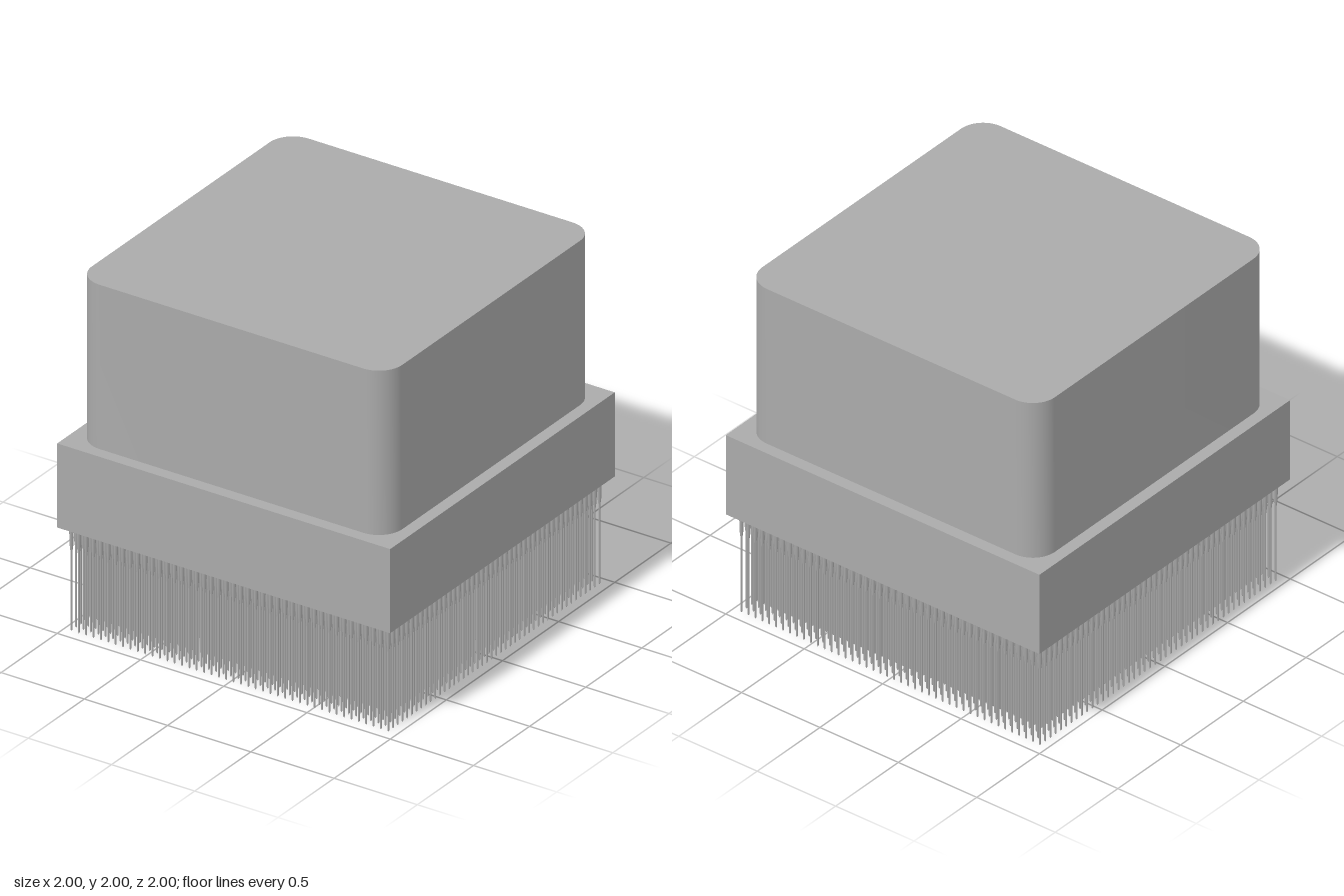
import * as THREE from 'three';
import { mergeGeometries, toCreasedNormals } from 'three/addons/utils/BufferGeometryUtils.js';

export function createModel() {
  const group = new THREE.Group();
  const grey = new THREE.MeshStandardMaterial({ color: 0xaaaaaa });
  grey.name = 'grey';

  const add = (name, geometry) => {
    const mesh = new THREE.Mesh(geometry, grey);
    mesh.name = name;
    group.add(mesh);
    return mesh;
  };

  // Square carrier plate
  add('basePlate', new THREE.BoxGeometry(2, 0.475, 2)).position.y = 0.835;

  // Block with rounded vertical corners
  const h = 0.932, r = 0.14;
  const outline = new THREE.Shape();
  [[1, 1, 0], [-1, 1, 1], [-1, -1, 2], [1, -1, 3]].forEach(([sx, sy, q]) => {
    outline.absarc(sx * (h - r), sy * (h - r), r, q * Math.PI / 2, (q + 1) * Math.PI / 2, false);
  });
  outline.closePath();
  const block = new THREE.ExtrudeGeometry(outline, { depth: 0.9275, bevelEnabled: false, curveSegments: 12 });
  block.rotateX(-Math.PI / 2);
  add('upperBlock', toCreasedNormals(block, Math.PI / 6)).position.y = 1.0725;

  // Slender pin with a thicker tapered root
  const profile = [[0, 0], [0.005, 0.008], [0.005, 0.45], [0.01, 0.49], [0.012, 0.6]]
    .map(([x, y]) => new THREE.Vector2(x, y));
  const pin = new THREE.LatheGeometry(profile, 6);

  // Grid of pins under the plate
  const columns = 44, rows = 46, pins = [];
  for (let i = 0; i < columns; i++) {
    for (let j = 0; j < rows; j++) {
      const x = -0.955 + i * 1.903 / (columns - 1);
      const z = -0.94 + j * 1.88 / (rows - 1);
      pins.push(pin.clone().translate(x, 0, z));
    }
  }
  add('pins', mergeGeometries(pins));

  return group;
}
